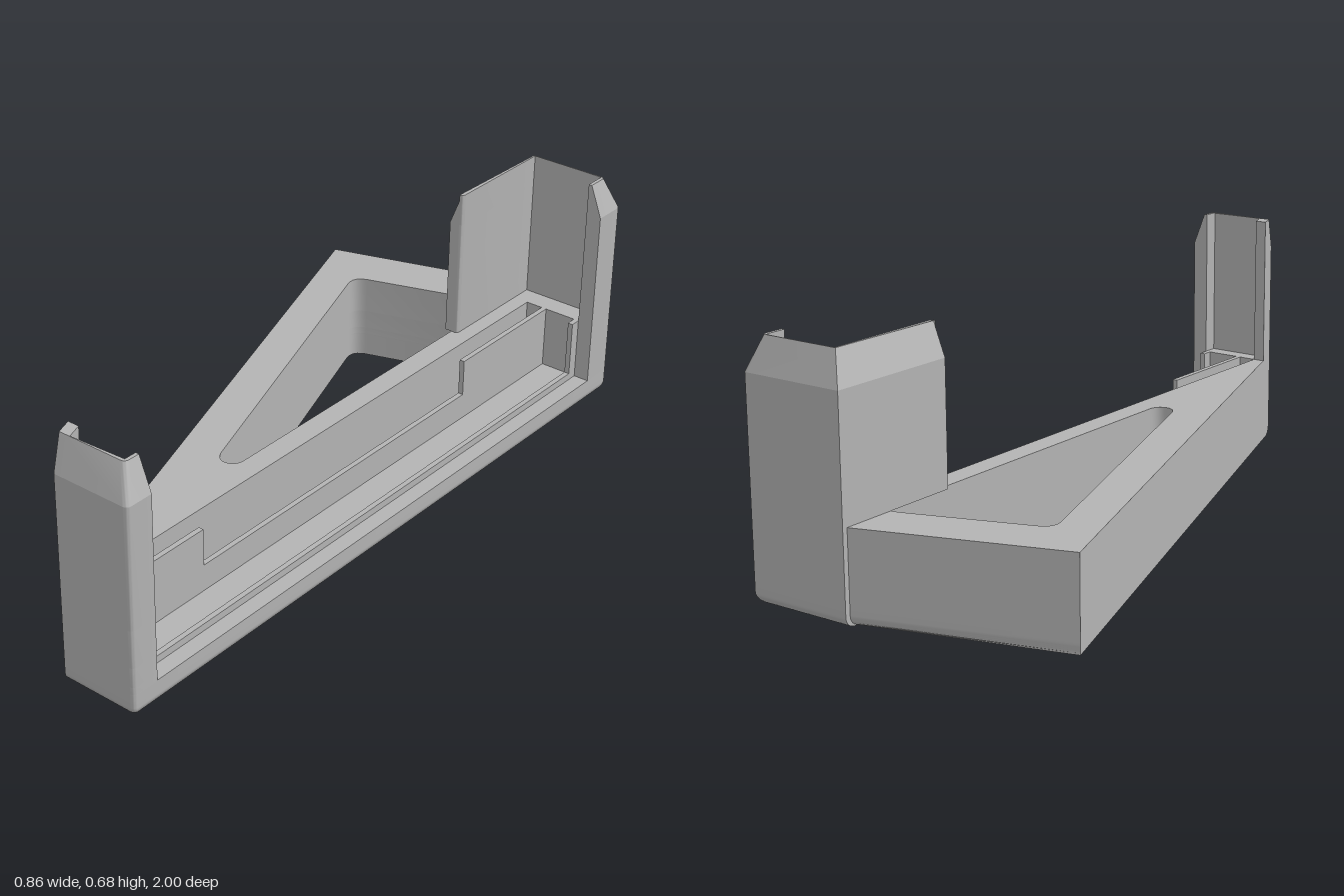
import * as THREE from 'three';
import { toCreasedNormals } from 'three/addons/utils/BufferGeometryUtils.js';

const grey = new THREE.MeshStandardMaterial({ color: 0xb3b3b3 });
grey.name = 'grey plastic';

// Plan outline in (x, z); a point with four numbers is a curve (control, end)
function trace(path, pts) {
  pts.forEach((p, i) => {
    if (i === 0) path.moveTo(p[0], p[1]);
    else if (p.length === 4) path.quadraticCurveTo(...p);
    else path.lineTo(p[0], p[1]);
  });
  path.closePath();
  return path;
}

// Extrude a plan between two heights; inset(y) draws the outer faces inwards
function slab(name, outline, holes, y0, y1, { steps = 1, inset = null, blade = false } = {}) {
  const shape = trace(new THREE.Shape(), outline);
  holes.forEach(h => shape.holes.push(trace(new THREE.Path(), h)));
  const geo = new THREE.ExtrudeGeometry(shape, { depth: y1 - y0, steps, bevelEnabled: false, curveSegments: 6 });
  geo.rotateX(Math.PI / 2).translate(0, y1, 0);
  if (inset) {
    const p = geo.attributes.position;
    for (let i = 0; i < p.count; i++) {
      let x = p.getX(i), z = p.getZ(i);
      const x0 = x, d = inset(p.getY(i));
      if (x0 > 0.4) x -= d;
      if (blade && x0 < 0.13) x += d;
      if (z > 0.98) {
        z -= d;
        if (x0 < 0.25) x -= 0.35 * d; // stay on the slanted side
      } else if (z < -0.98) z += d;
      p.setXYZ(i, x, p.getY(i), z);
    }
  }
  const mesh = new THREE.Mesh(toCreasedNormals(geo, 0.6), grey);
  mesh.name = name;
  return mesh;
}

const rect = (x0, x1, z0, z1) => [[x0, z0], [x1, z0], [x1, z1], [x0, z1]];

// Footprint whose front edge follows the given points, from +z to -z
const footprint = (frontEdge = []) => [
  [0.2, 1], [0.41, 1], [0.425, 1, 0.425, 0.985],
  ...frontEdge,
  [0.425, -0.985], [0.425, -1, 0.41, -1], [0.12, -1], [0.12, -0.985], [-0.43, -0.81],
];

export function createModel() {
  const group = new THREE.Group();
  group.name = 'wallCradle';
  const add = (...args) => group.add(slab(...args));

  const window = [
    [0.14, -0.835], [0.14, 0.275], [0.14, 0.313, 0.105, 0.315], [0.08, 0.315, 0.068, 0.28],
    [-0.262, -0.66], [-0.275, -0.70, -0.235, -0.715], [0.1, -0.827],
  ];
  const rearSlot = rect(0.205, 0.255, -0.9, 0.92);
  const frontSlot = rect(0.27, 0.365, -0.9, 0.92);

  // Floor with rounded lower edges
  const r = 0.03;
  const round = y => (y >= r ? 0 : r - Math.sqrt(Math.max(0, r * r - (r - y) ** 2)));
  add('floor', footprint(), [window], 0, 0.07, { steps: 14, inset: round });

  // Ledge behind the front lip
  add('ledge', footprint([[0.425, 0.92], [0.38, 0.92], [0.38, -0.9], [0.425, -0.9]]),
    [window, rearSlot, frontSlot], 0.07, 0.09);

  // Body with the front slot open to the front, then the notched divider
  const opening = middle => [
    [0.425, 0.92], [0.38, 0.92], [0.38, 0.89], [0.365, 0.89], [0.365, 0.92], [0.27, 0.92],
    ...middle,
    [0.27, -0.9], [0.365, -0.9], [0.365, -0.87], [0.38, -0.87], [0.38, -0.9], [0.425, -0.9],
  ];
  add('lowerBody', footprint(opening([])), [window, rearSlot], 0.09, 0.145);
  add('upperBody', footprint(opening([
    [0.27, 0.58], [0.255, 0.58], [0.255, 0.92], [0.205, 0.92],
    [0.205, -0.9], [0.255, -0.9], [0.255, -0.5], [0.27, -0.5],
  ])), [window], 0.145, 0.25);

  // End posts with tapered tips
  const posts = {
    frontPost: [
      [0.2, 1], [0.41, 1], [0.425, 1, 0.425, 0.985], [0.425, 0.92], [0.38, 0.92],
      [0.38, 0.963], [0.22, 0.963], [0.205, 0.92], [0.172, 0.92],
    ],
    backPost: [
      [0.12, -1], [0.41, -1], [0.425, -1, 0.425, -0.985], [0.425, -0.9], [0.38, -0.9],
      [0.38, -0.963], [0.16, -0.963], [0.16, -0.63], [0.16, -0.618, 0.148, -0.618], [0.12, -0.618],
    ],
  };
  const taper = y => Math.max(0, (y - 0.585) / 0.09) * 0.035;
  for (const [name, plan] of Object.entries(posts)) {
    add(name, plan, [], 0.25, 0.585);
    add(name + 'Tip', plan, [], 0.585, 0.675, { inset: taper, blade: name === 'backPost' });
  }
  return group;
}
